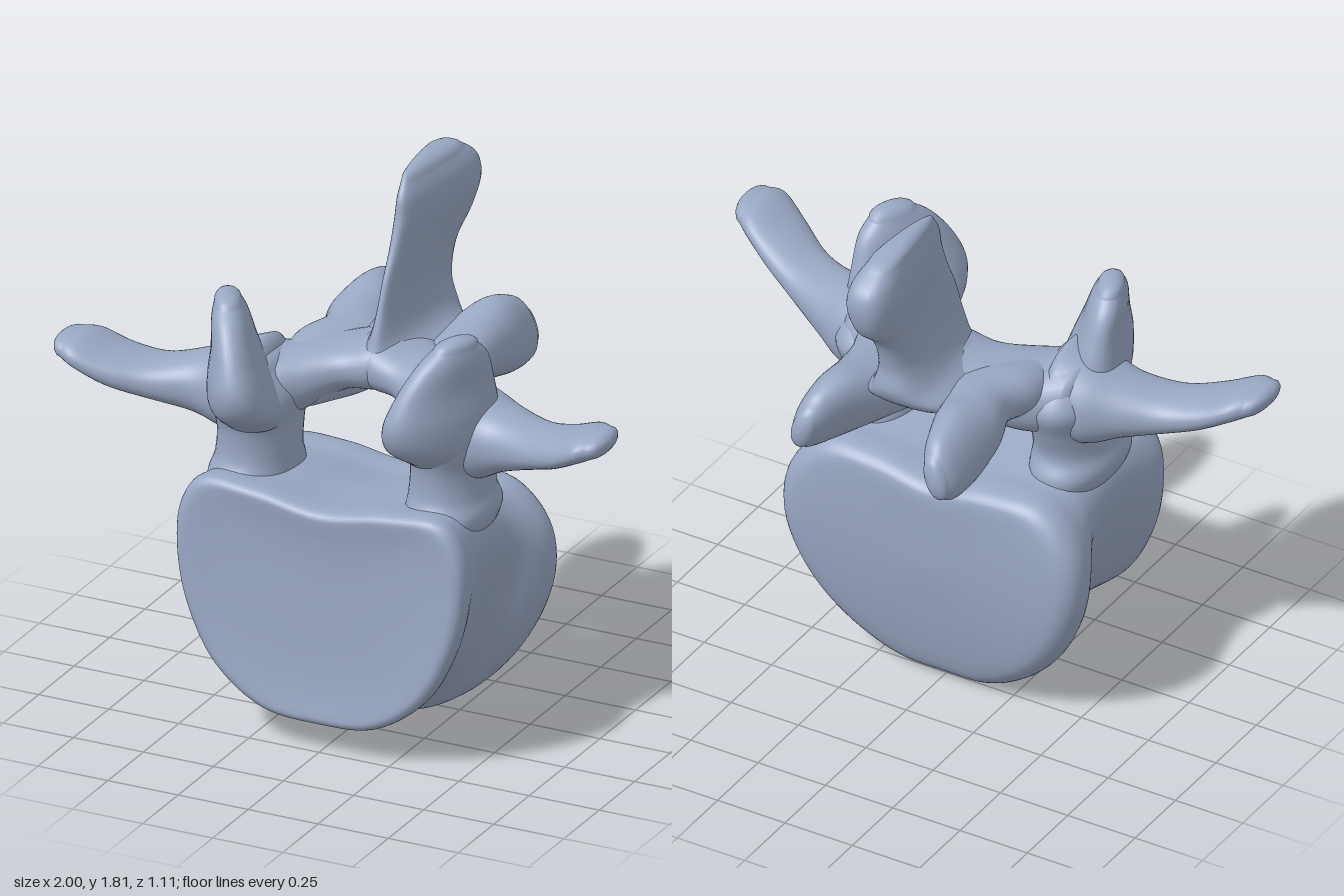
import * as THREE from 'three';

const bone = new THREE.MeshStandardMaterial({ color: 0x9aa8c4 });
const X = [1, 0, 0], Y = [0, 1, 0], Z = [0, 0, 1];

// Smooth interpolation through rows of numbers
function spline(rows, steps) {
  const out = [], n = rows.length - 1;
  for (let i = 0; i <= n * steps; i++) {
    const k = Math.min(Math.floor(i / steps), n - 1), t = i / steps - k;
    const at = (j) => rows[Math.max(0, Math.min(n, j))];
    out.push(rows[k].map((b, c) => {
      const a = at(k - 1)[c], d = at(k + 1)[c], e = at(k + 2)[c];
      return b + 0.5 * t * (d - a + t * (2 * a - 5 * b + 4 * d - e + t * (3 * (b - d) + e - a)));
    }));
  }
  return out;
}

// Closed skin over a list of rings, always wound outward
function skin(name, rings) {
  const n = rings[0].length, pos = [], idx = [];
  rings.forEach((r) => r.forEach((p) => pos.push(...p)));
  for (let i = 0; i < rings.length - 1; i++) {
    for (let j = 0; j < n; j++) {
      const a = i * n + j, b = i * n + (j + 1) % n;
      idx.push(a, b, a + n, b, b + n, a + n);
    }
  }
  [0, rings.length - 1].forEach((r) => {
    const c = [0, 1, 2].map((k) => rings[r].reduce((s, p) => s + p[k] / n, 0));
    const id = pos.length / 3;
    pos.push(...c);
    for (let j = 0; j < n; j++) {
      const a = r * n + j, b = r * n + (j + 1) % n;
      if (r) idx.push(a, b, id); else idx.push(b, a, id);
    }
  });
  const v = (i) => new THREE.Vector3().fromArray(pos, i * 3);
  let volume = 0;
  for (let i = 0; i < idx.length; i += 3) volume += v(idx[i]).dot(v(idx[i + 1]).cross(v(idx[i + 2])));
  if (volume < 0) idx.reverse();
  const g = new THREE.BufferGeometry();
  g.setAttribute('position', new THREE.Float32BufferAttribute(pos, 3));
  g.setIndex(idx);
  g.computeVertexNormals();
  const mesh = new THREE.Mesh(g, bone);
  mesh.name = name;
  return mesh;
}

// Limb of oval sections [x, y, z, halfU, halfV] with domed ends;
// taper narrows the +u side, blunt below 1 squares the oval
function limb(name, rows, u, v, { side = 1, cap = 0.05, taper = 0, blunt = 0.9 } = {}) {
  const path = spline(rows, 7), last = path.length - 1;
  const power = (q) => Math.sign(q) * Math.abs(q) ** blunt;
  const dome = (end, next) => [0.02, 0.3, 0.55, 0.77, 0.93].map((s) => {
    const d = [0, 1, 2].map((k) => end[k] - next[k]), len = Math.hypot(...d);
    const push = cap * Math.sqrt(1 - s * s) / len;
    return [...d.map((q, k) => end[k] + q * push), end[3] * s, end[4] * s];
  });
  const all = [...dome(path[0], path[1]), ...path, ...dome(path[last], path[last - 1]).reverse()];
  return skin(name, all.map(([x, y, z, a, b]) => Array.from({ length: 40 }, (_, i) => {
    const t = i / 40 * Math.PI * 2, c = power(Math.cos(t)), cu = c * a;
    const sv = power(Math.sin(t)) * b * (1 - taper * c);
    return [side * (x + u[0] * cu + v[0] * sv), y + u[1] * cu + v[1] * sv, z + u[2] * cu + v[2] * sv];
  })));
}

// Closed symmetric outline from its right half
function outline(half) {
  const mirrored = half.slice(1, -1).reverse().map(([x, y]) => [-x, y]);
  const curve = new THREE.CatmullRomCurve3(
    [...half, ...mirrored].map(([x, y]) => new THREE.Vector3(x, y, 0)), true);
  return Array.from({ length: 96 }, (_, i) => curve.getPoint(i / 96));
}

function vertebralBody() {
  const front = outline([[0, 0.1], [0.2, 0.12], [0.37, 0.24], [0.47, 0.42], [0.51, 0.6],
    [0.5, 0.77], [0.43, 0.87], [0.24, 0.87], [0, 0.835]]);
  const back = outline([[0, 0], [0.16, 0.01], [0.33, 0.11], [0.47, 0.28], [0.55, 0.5],
    [0.53, 0.68], [0.41, 0.81], [0.2, 0.82], [0, 0.79]]);
  // [depth 0 front to 1 back, outline blend, width scale, height scale]
  const rows = [[0.025, 0, 0.03, 0.03], [0.025, 0, 0.4, 0.4], [0.015, 0, 0.7, 0.7], [0, 0, 0.88, 0.88],
    [0, 0, 0.95, 0.95], [0.03, 0, 0.995, 0.995], [0.1, 0, 1, 1], [0.25, 0.05, 0.92, 0.98],
    [0.45, 0.2, 0.86, 0.97], [0.62, 0.55, 0.86, 0.97], [0.76, 0.95, 0.95, 0.985], [0.86, 1, 1, 1],
    [0.94, 1, 0.985, 0.985], [0.985, 1, 0.93, 0.93], [1, 1, 0.84, 0.84], [0.99, 1, 0.6, 0.6],
    [0.98, 1, 0.3, 0.3], [0.98, 1, 0.03, 0.03]];
  return skin('vertebralBody', spline(rows, 3).map(([t, k, sx, sy]) => front.map((f, i) => {
    const y = 0.47 + (THREE.MathUtils.lerp(f.y, back[i].y, k) - 0.47) * sy;
    // The waist fades out toward the pedicles
    const fill = t > 0.1 && t < 0.86 ? 0.7 * THREE.MathUtils.smoothstep(y, 0.45, 0.85) : 0;
    const x = THREE.MathUtils.lerp(f.x, back[i].x, k) * THREE.MathUtils.lerp(sx, 1, fill);
    const zFront = 0.53 - 0.025 * y, zBack = -0.14 + 0.33 * (y - 0.57) ** 2;
    return [x, y, THREE.MathUtils.lerp(zFront, zBack, t)];
  })));
}

export function createModel() {
  const model = new THREE.Group();
  model.name = 'vertebra';
  model.add(vertebralBody());

  for (const side of [1, -1]) {
    const isLeft = side > 0, tag = isLeft ? 'left' : 'right';
    const add = (name, rows, u, v, opt) => model.add(limb(tag + name, rows, u, v, { side, ...opt }));

    // Pedicle rising from the body to the arch, leaning back
    add('Pedicle', [[0.33, 0.7, 0.25, 0.1, 0.2], [0.35, 0.82, 0.245, 0.135, 0.21], [0.345, 0.9, 0.24, 0.125, 0.175],
      [0.345, 1.0, 0.225, 0.12, 0.19], [0.35, 1.1, 0.22, 0.135, 0.22], [0.36, 1.19, 0.23, 0.09, 0.17]], X, Z);

    // Upper joint: a plate slanting inward toward the front
    add('UpperJoint', [[0.34, 1.03, 0.3, 0.13, 0.1], [0.35, 1.1, 0.33, 0.205, 0.115],
      [0.36, 1.19, 0.355, 0.22, 0.1], [0.375, 1.29, 0.355, 0.19, 0.075],
      [0.395, 1.38, 0.345, 0.14, 0.06], [0.405, 1.43, 0.34, 0.085, 0.045]],
    [-0.4, 0, 0.92], [0.92, 0, 0.4], { cap: 0.035 });

    // Side wing, broad at the root and flattened at the tip
    const lift = isLeft ? 0 : -0.05, fwd = isLeft ? 0 : -0.05;
    add('SideWing', [[0.34, 1.1, 0.22, 0.18, 0.17], [0.45, 1.085, 0.21, 0.155, 0.14],
      [0.55, 1.095 + lift * 0.2, 0.23, 0.125, 0.1], [0.68, 1.12 + lift * 0.6, 0.285 + fwd * 0.2, 0.115, 0.068],
      [0.8, 1.165 + lift * 0.9, 0.345 + fwd * 0.6, 0.125, 0.058],
      [0.9, 1.215 + lift, 0.39 + fwd, 0.125, 0.052], [0.95, 1.23 + lift, 0.4 + fwd, 0.1, 0.042]], Z, Y);

    // Lamina closing the arch toward the midline
    add('Lamina', [[0.4, 1.12, 0.2, 0.16, 0.12], [0.3, 1.1, 0.16, 0.18, 0.12], [0.2, 1.13, 0.08, 0.17, 0.105],
      [0.1, 1.165, 0.02, 0.16, 0.085], [0, 1.185, 0.01, 0.15, 0.095], [-0.04, 1.19, 0.01, 0.12, 0.08]], Z, Y);

    // Lower joint: wide web at the spine base, narrowing to a tall tip behind
    const out = isLeft ? 0 : 0.04;
    add('LowerJoint', [[0.24, 1.12, 0.16, 0.1, 0.09], [0.19, 1.14, 0.02, 0.15, 0.095],
      [0.165, 1.15, -0.1, 0.14, 0.095], [0.18 + out, 1.155, -0.22, 0.115, 0.11],
      [0.21 + out, 1.16, -0.35, 0.085, 0.13], [0.23 + out, 1.15, -0.45 - out * 0.6, 0.058, 0.11],
      [0.235 + out, 1.14, -0.49 - out * 0.8, 0.04, 0.075]], [0.95, 0.3, 0], [-0.3, 0.95, 0], { cap: 0.03 });
  }

  // Spine blade at the back: thin leading edge, thick rear edge with a knob
  model.add(limb('spineBlade', [[0, 1.13, -0.03, 0.14, 0.16], [0, 1.2, -0.08, 0.22, 0.15],
    [0.005, 1.27, -0.115, 0.24, 0.085], [0.01, 1.36, -0.125, 0.225, 0.055], [0.015, 1.47, -0.16, 0.225, 0.05],
    [0.02, 1.56, -0.225, 0.25, 0.06], [0.025, 1.65, -0.255, 0.25, 0.07], [0.025, 1.72, -0.255, 0.235, 0.062],
    [0.02, 1.77, -0.24, 0.185, 0.045]], Z, X, { cap: 0.038, taper: 0.45, blunt: 0.75 }));

  return model;
}
